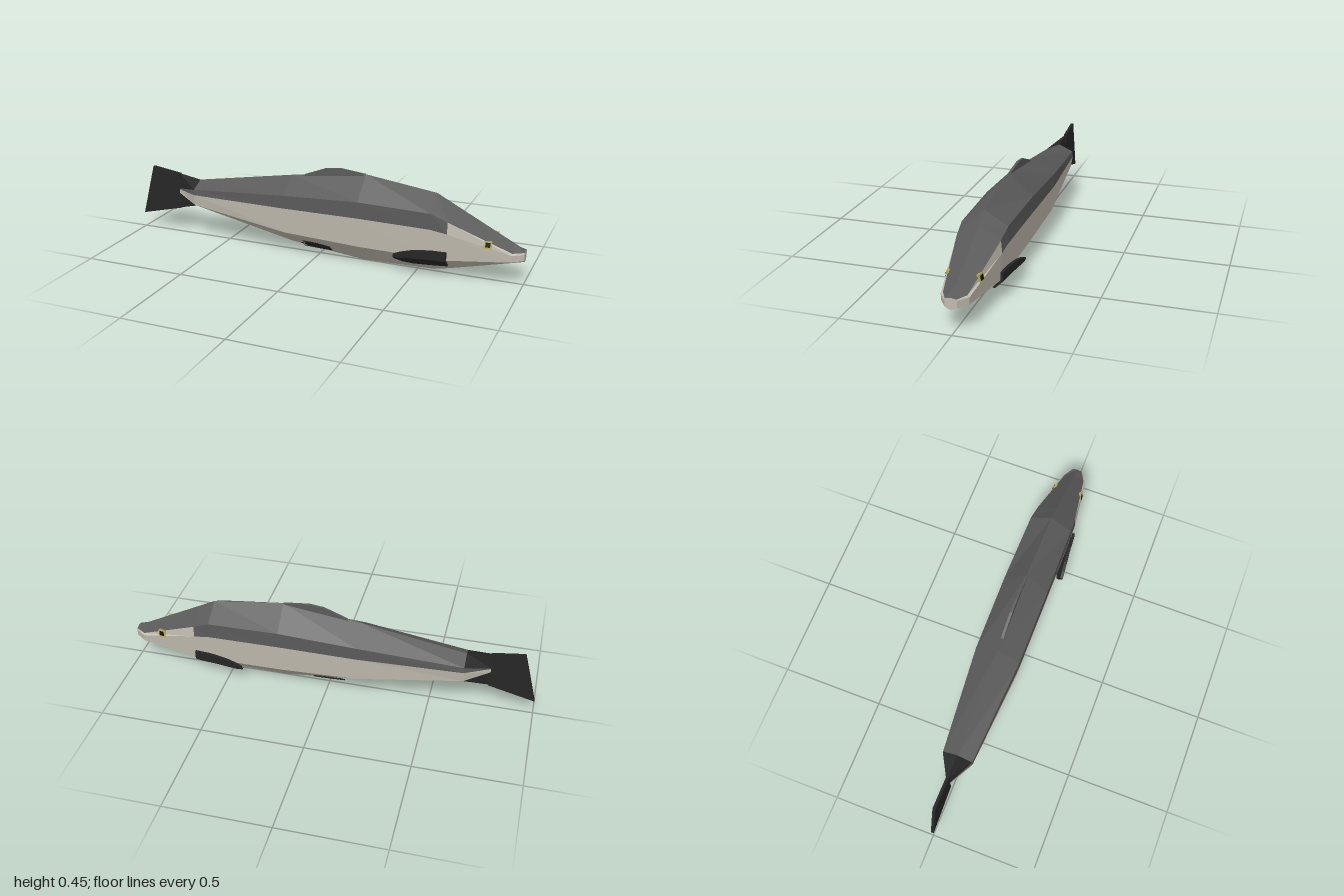
import * as THREE from 'three';

const material = (color, side = THREE.FrontSide) =>
  new THREE.MeshStandardMaterial({ color, flatShading: true, side });
const backMat = material(0x5a5a5a);
const flankMat = material(0xc2bcb0);
const finMat = material(0x262626, THREE.DoubleSide);
const eyeMat = material(0xb5a552);
const pupilMat = material(0x111111);

// Body sections: x, then [y, z] of ridge, shoulder, colour line, lower edge, keel
const SECTIONS = [
  [-0.78, [0.32, 0], [0.24, 0.008], [0.236, 0.008], [0.216, 0.008], [0.135, 0]],
  [-0.66, [0.30, 0], [0.267, 0.072], [0.24, 0.075], [0.185, 0.066], [0.163, 0]],
  [-0.15, [0.388, 0], [0.314, 0.109], [0.25, 0.11], [0.123, 0.098], [0.045, 0]],
  [0.23, [0.437, 0], [0.332, 0.11], [0.252, 0.11], [0.106, 0.096], [0.004, 0]],
  [0.58, [0.39, 0], [0.323, 0.105], [0.247, 0.107], [0.102, 0.094], [0.013, 0]],
  [0.66, [0.348, 0], [0.29, 0.099], [0.235, 0.104], [0.102, 0.092], [0.03, 0]],
  [0.95, [0.198, 0], [0.167, 0.052], [0.16, 0.062], [0.127, 0.06], [0.103, 0]],
  [1.0, [0.173, 0], [0.168, 0.024], [0.16, 0.027], [0.13, 0.026], [0.116, 0]],
].map(([x, ...pts]) => pts.map(([y, z]) => new THREE.Vector3(x, y, z)));
const HEAD = 5;

const mirrorZ = (p) => new THREE.Vector3(p.x, p.y, -p.z);

function quadMesh(name, quads, mat) {
  const points = quads.flatMap(([a, b, c, d]) => [a, b, c, a, c, d]);
  const geometry = new THREE.BufferGeometry().setFromPoints(points);
  geometry.computeVertexNormals();
  const mesh = new THREE.Mesh(geometry, mat);
  mesh.name = name;
  return mesh;
}

function plate(name, outline, thickness, mat = finMat) {
  const shape = new THREE.Shape(outline.map(([x, y]) => new THREE.Vector2(x, y)));
  const geometry = new THREE.ExtrudeGeometry(shape, { depth: thickness, bevelEnabled: false });
  geometry.translate(0, 0, -thickness / 2);
  const mesh = new THREE.Mesh(geometry, mat);
  mesh.name = name;
  return mesh;
}

// Lofted body, split into dark back, pale flanks and dark tail root
function body() {
  const back = [], flank = [], root = [];
  for (let i = 0; i < SECTIONS.length - 1; i++) {
    for (let j = 0; j < 4; j++) {
      const quad = [SECTIONS[i][j], SECTIONS[i][j + 1], SECTIONS[i + 1][j + 1], SECTIONS[i + 1][j]];
      let target = flank;
      if (i === 0 && (j === 0 || j === 3)) target = root;
      else if (j === 0 || (j === 1 && i < HEAD)) target = back;
      target.push(quad, quad.map(mirrorZ).reverse());
    }
  }
  // Blunt nose
  const tip = SECTIONS[SECTIONS.length - 1];
  for (let j = 0; j < 4; j++) {
    flank.push([tip[j], tip[j + 1], mirrorZ(tip[j + 1]), mirrorZ(tip[j])]);
  }
  const group = new THREE.Group();
  group.name = 'body';
  group.add(quadMesh('back', back, backMat), quadMesh('flanksAndBelly', flank, flankMat),
    quadMesh('tailRoot', root, finMat));
  return group;
}

// Pectoral fin: closed loft folded around the lower edge, flaring to the rear
function pectoralFin(name, side) {
  const stations = [ // x, top y, fold y, bottom y, outward flare
    [0.66, 0.145, 0.103, 0.066, 0.006], [0.58, 0.145, 0.102, 0.06, 0.012],
    [0.50, 0.137, 0.1, 0.06, 0.021], [0.45, 0.125, 0.098, 0.07, 0.027],
    [0.415, 0.112, 0.1, 0.086, 0.03],
  ];
  const rings = stations.map(([x, top, fold, bottom, flare]) => {
    const under = (y) => 0.1 - (fold - y) * 0.95;
    const line = [[top, 0.104], [fold, 0.103], [bottom, under(bottom)]];
    const outer = line.map(([y, z]) => new THREE.Vector3(x, y, (z + flare) * side));
    const inner = line.map(([y, z]) => new THREE.Vector3(x, y, (z + flare - 0.014) * side));
    return [...outer, ...inner.reverse()];
  });
  const quads = [];
  for (let i = 0; i < rings.length - 1; i++) {
    for (let j = 0; j < 6; j++) {
      const k = (j + 1) % 6;
      quads.push([rings[i][j], rings[i + 1][j], rings[i + 1][k], rings[i][k]]);
    }
  }
  for (const r of [rings[0], rings[rings.length - 1]]) {
    quads.push([r[0], r[1], r[4], r[5]], [r[1], r[2], r[3], r[4]]);
  }
  return quadMesh(name, quads, finMat);
}

// Pelvic fin: notched plate laid on the sloping belly, lifting at the rear
function pelvicFin(name, side) {
  const fin = plate(name, [[0.07, 0.036], [0.07, 0.066], [0, 0.08], [-0.07, 0.08],
    [-0.045, 0.066], [-0.085, 0.06], [-0.05, 0.05], [-0.08, 0.04], [0, 0.036]], 0.008);
  const p = fin.geometry.attributes.position;
  for (let i = 0; i < p.count; i++) {
    const x = p.getX(i), y = p.getY(i);
    const keel = 0.029 - 0.107 * x;
    const z = (y - keel) * 1.1 + 0.004 + (0.07 - x) * 0.08 + p.getZ(i);
    p.setZ(i, z * side);
  }
  fin.geometry.computeVertexNormals();
  fin.material = finMat;
  return fin;
}

// Square eye with a dark pupil, turned to follow the cheek
function eye(name, side) {
  const group = new THREE.Group();
  group.name = name;
  const rim = new THREE.Mesh(new THREE.BoxGeometry(0.036, 0.036, 0.012), eyeMat);
  rim.name = 'eyeRim';
  const pupil = new THREE.Mesh(new THREE.BoxGeometry(0.022, 0.022, 0.014), pupilMat);
  pupil.name = 'pupil';
  pupil.position.z = 0.001 * side;
  group.add(rim, pupil);
  group.position.set(0.842, 0.2, 0.071 * side);
  group.rotation.set(-0.2 * side, 0.15 * side, 0);
  return group;
}

export function createModel() {
  const model = new THREE.Group();
  model.name = 'fish';
  model.add(body());

  model.add(plate('tailFin', [[-0.775, 0.32], [-0.93, 0.342], [-0.955, 0.25], [-1, 0.08],
    [-0.775, 0.135]], 0.014));
  model.add(plate('dorsalFin', [[-0.1, 0.385], [-0.08, 0.4], [0.03, 0.443], [0.1, 0.451],
    [0.23, 0.437], [0.2, 0.42]], 0.012, backMat));

  for (const [label, side] of [['left', 1], ['right', -1]]) {
    model.add(pectoralFin(label + 'PectoralFin', side));
    model.add(pelvicFin(label + 'PelvicFin', side));
    model.add(eye(label + 'Eye', side));
  }
  return model;
}
